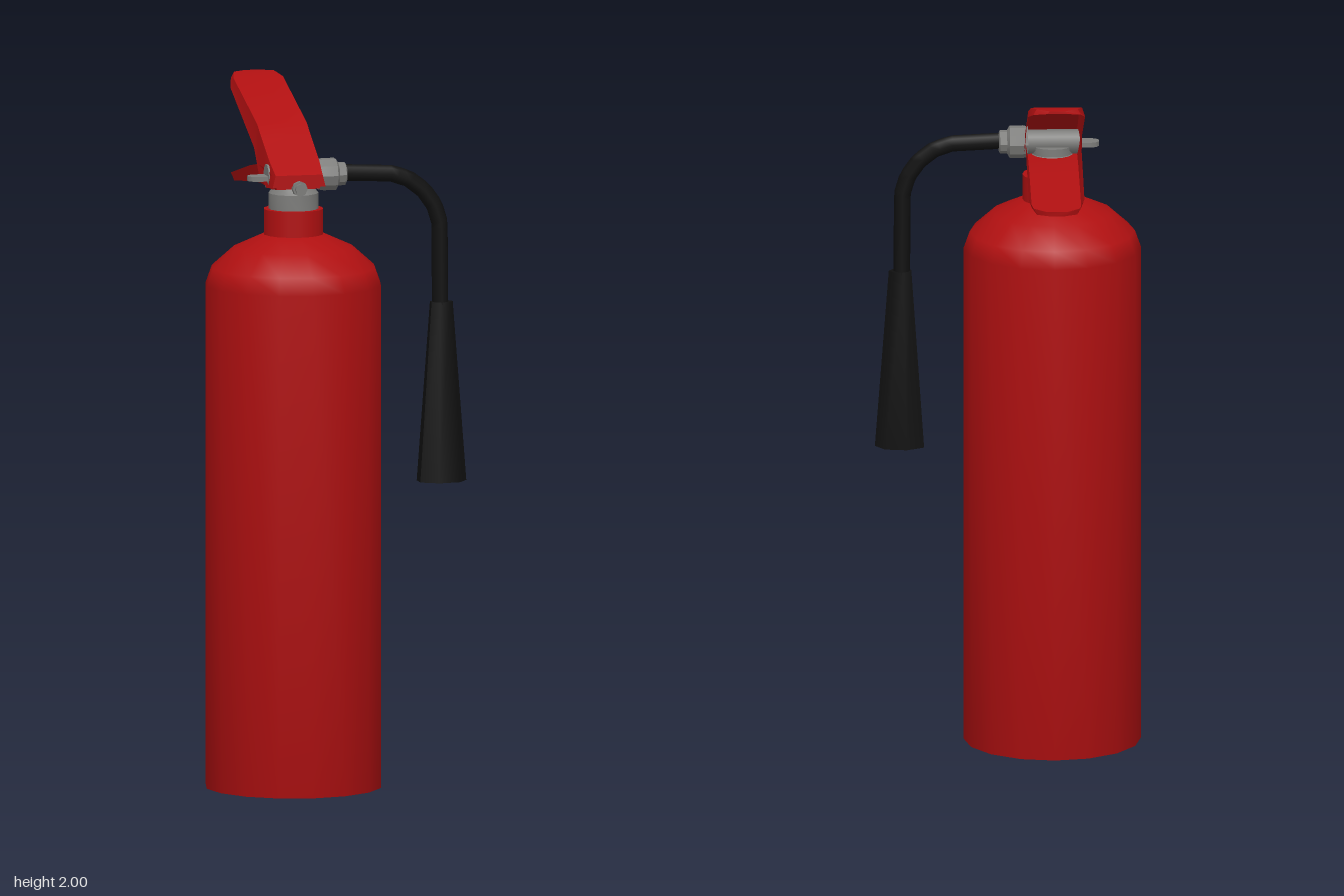
import * as THREE from 'three';
import { toCreasedNormals } from 'three/addons/utils/BufferGeometryUtils.js';

const CX = -0.13, CZ = 0.137; // axis of the tank

export function createModel() {
  const group = new THREE.Group();
  const red = new THREE.MeshStandardMaterial({ color: 0xb01011, side: THREE.DoubleSide });
  const grey = new THREE.MeshStandardMaterial({ color: 0x7c7c7a });
  const black = new THREE.MeshStandardMaterial({ color: 0x101010 });

  const add = (name, geometry, material, x = 0, y = 0, z = 0) => {
    const mesh = new THREE.Mesh(geometry, material);
    mesh.name = name;
    mesh.position.set(x, y, z);
    group.add(mesh);
    return mesh;
  };
  const lathe = (points, sides) =>
    new THREE.LatheGeometry(points.map(p => new THREE.Vector2(...p)), sides);

  // Tank with rounded shoulder, then its neck
  add('tank', lathe([[0, 0], [0.255, 0], [0.255, 1.455], [0.237, 1.505], [0.172, 1.563],
    [0.09, 1.6], [0.06, 1.605]], 16), red, CX, 0, CZ);
  add('neck', new THREE.CylinderGeometry(0.086, 0.086, 0.085, 16), red, CX, 1.632, CZ);

  // Valve: collar, cross body, front bolt
  add('collar', toCreasedNormals(lathe([[0, 1.67], [0.072, 1.67], [0.072, 1.72], [0.058, 1.737],
    [0.058, 1.76], [0, 1.76]], 14), 0.6), grey, CX, 0, CZ);
  add('valveBody', new THREE.CylinderGeometry(0.035, 0.035, 0.16, 10).rotateZ(Math.PI / 2),
    grey, CX, 1.77, CZ);
  add('boltHead', new THREE.CylinderGeometry(0.022, 0.022, 0.02, 8).rotateX(Math.PI / 2),
    grey, CX, 1.742, 0.215);
  add('boltTip', new THREE.CylinderGeometry(0.016, 0.016, 0.02, 8).rotateX(Math.PI / 2),
    grey, CX, 1.742, 0.226);

  // Flat safety pin with a rounded end
  add('pinPlate', new THREE.BoxGeometry(0.1, 0.014, 0.055), grey, -0.188, 1.765, CZ);
  add('pinEnd', new THREE.CylinderGeometry(0.0275, 0.0275, 0.014, 10), grey, -0.238, 1.765, CZ);

  // Hose coupling, turned around the x axis
  add('coupling', toCreasedNormals(lathe([[0, -0.06], [0.044, -0.06], [0.047, -0.045], [0.047, -0.008],
    [0.034, 0], [0.034, 0.02], [0.026, 0.024], [0, 0.024]], 10), 0.6).rotateZ(-Math.PI / 2),
    grey, 0, 1.77, CZ);

  // Bent hose and flared horn
  const path = new THREE.CurvePath();
  const bends = [[0.0, 1.774], [0.16, 1.766], [0.21, 1.748], [0.253, 1.715], [0.285, 1.67],
    [0.3, 1.62], [0.302, 1.37]].map(p => new THREE.Vector3(p[0], p[1], CZ));
  for (let i = 1; i < bends.length; i++) path.add(new THREE.LineCurve3(bends[i - 1], bends[i]));
  add('hose', new THREE.TubeGeometry(path, 32, 0.024, 8), black);
  add('horn', toCreasedNormals(new THREE.CylinderGeometry(0.034, 0.074, 0.52, 7)
    .rotateY(Math.PI / 2).scale(1, 1, 0.73), 0.95), black, 0.305, 1.13, CZ);

  // Levers: pressed channels with rounded ends; stations are [z, plate y, rim y, half width]
  add('upperLever', channel([[0.21, 1.78, 1.745, 0.078], [0.15, 1.813, 1.737, 0.082],
    [0.05, 1.866, 1.765, 0.082], [-0.01, 1.9, 1.832, 0.082], [-0.31, 1.99, 1.962, 0.082],
    [-0.365, 2, 1.983, 0.068], [-0.39, 2, 1.992, 0.03]]), red, CX);
  add('lowerLever', channel([[0.2, 1.738, 1.77, 0.072], [0.16, 1.735, 1.79, 0.08],
    [0.03, 1.735, 1.79, 0.08], [-0.07, 1.725, 1.772, 0.08], [-0.31, 1.693, 1.717, 0.08],
    [-0.365, 1.687, 1.705, 0.067], [-0.385, 1.687, 1.7, 0.03]]), red, CX);
  return group;
}

// Open channel: flat plate with a rim down each side, closed at both ends
function channel(stations) {
  const pos = [], index = [];
  for (const [z, plate, rim, w] of stations) {
    const inner = w - 0.009;
    pos.push(-w, rim, z, -inner, plate, z, inner, plate, z, w, rim, z);
  }
  const up = stations[0][1] > stations[0][2];
  const quad = (a, b, c, d) =>
    index.push(...(up ? [a, b, c, a, c, d] : [a, c, b, a, d, c]));
  const last = (stations.length - 1) * 4;
  for (let i = 0; i < last; i += 4)
    for (let k = 0; k < 3; k++) quad(i + k, i + k + 1, i + k + 5, i + k + 4);
  quad(3, 2, 1, 0);
  quad(last, last + 1, last + 2, last + 3);
  const geometry = new THREE.BufferGeometry();
  geometry.setAttribute('position', new THREE.Float32BufferAttribute(pos, 3));
  // Wind so that the plate's outer side is the front
  for (let i = 0; i < index.length; i += 3) [index[i + 1], index[i + 2]] = [index[i + 2], index[i + 1]];
  geometry.setIndex(index);
  return toCreasedNormals(geometry, 0.7);
}
